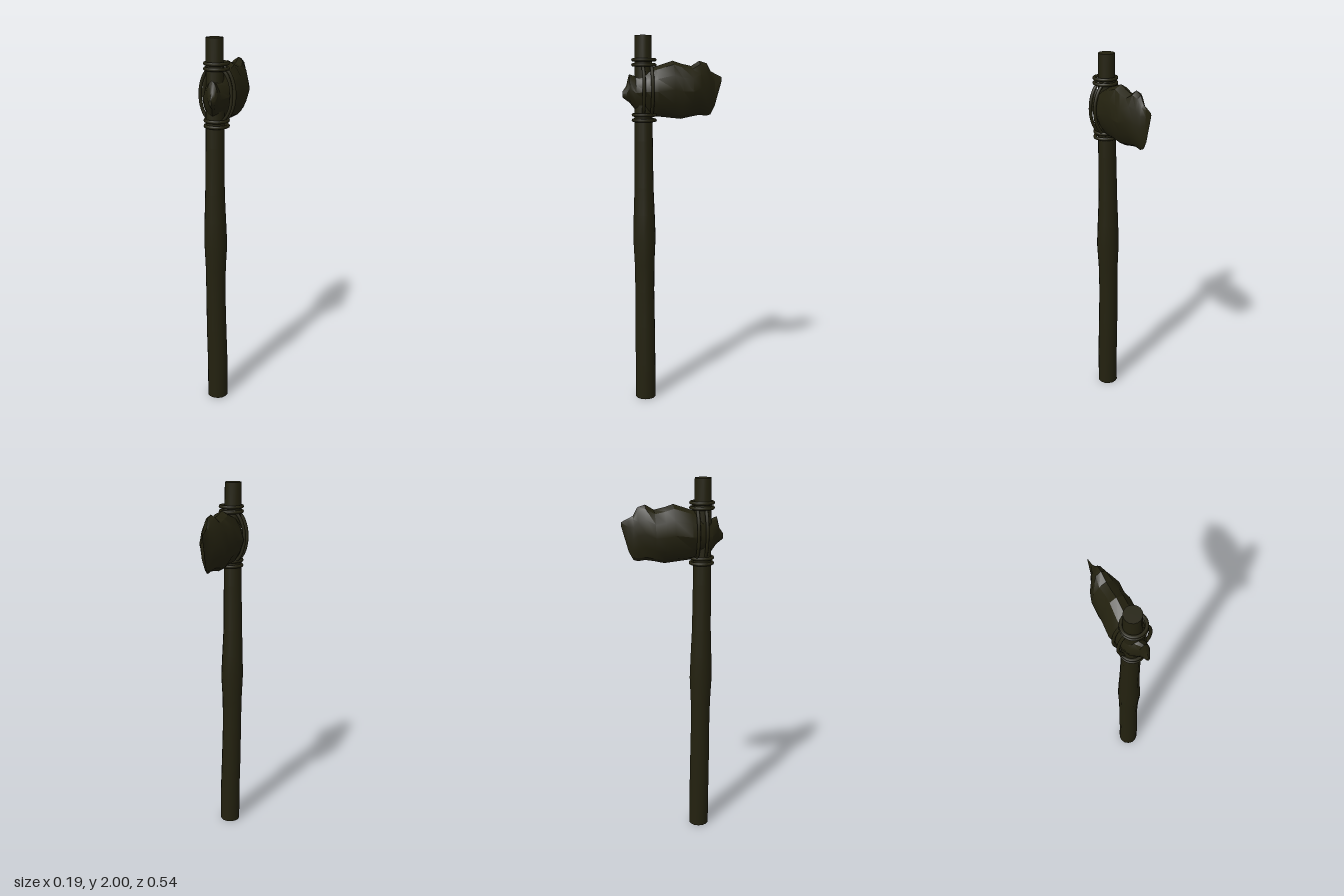
import * as THREE from 'three';
import { toCreasedNormals } from 'three/addons/utils/BufferGeometryUtils.js';

const HANDLE_Z = 0.155;

// Handle stations from bottom to top: y, centre x, radius
const HANDLE = [
  [0, 0, 0.056], [0.2, 0, 0.056], [0.42, -0.006, 0.055], [0.62, -0.009, 0.053],
  [0.78, -0.009, 0.055], [0.92, -0.008, 0.062], [1.05, -0.01, 0.058],
  [1.2, -0.011, 0.052], [1.45, -0.009, 0.049], [1.75, -0.008, 0.047], [2, -0.009, 0.044],
];

// Stone stations from poll to cutting edge: z, bottom y, top y, min x, max x
const STONE = [
  [0.27, 1.68, 1.71, 0.006, 0.022], [0.25, 1.665, 1.74, -0.006, 0.034],
  [0.234, 1.655, 1.8, -0.022, 0.04], [0.2, 1.615, 1.79, -0.054, 0.046],
  [0.15, 1.6, 1.82, -0.072, 0.07], [0.09, 1.58, 1.84, -0.092, 0.086],
  [0, 1.57, 1.87, -0.083, 0.081], [-0.045, 1.565, 1.855, -0.081, 0.082],
  [-0.1, 1.577, 1.843, -0.077, 0.083], [-0.145, 1.585, 1.87, -0.06, 0.064],
  [-0.185, 1.58, 1.857, -0.033, 0.042], [-0.208, 1.587, 1.815, -0.022, 0.025],
  [-0.232, 1.63, 1.803, -0.007, 0.005], [-0.27, 1.765, 1.785, -0.002, 0.001],
];

function handleGeometry() {
  const rows = HANDLE.length - 1;
  const g = new THREE.CylinderGeometry(1, 1, rows, 14, rows);
  const p = g.attributes.position;
  for (let i = 0; i < p.count; i++) {
    const [y, cx, r] = HANDLE[Math.round(p.getY(i) + rows / 2)];
    p.setXYZ(i, cx + p.getX(i) * r, y, HANDLE_Z + p.getZ(i) * r);
  }
  return toCreasedNormals(g, 0.7);
}

// Chipped stone: lens-shaped cross-sections joined along z
function stoneGeometry() {
  const sides = 12, pos = [], idx = [];
  let seed = 11;
  const rand = () => (seed = (seed * 16807) % 2147483647) / 2147483647;
  STONE.forEach(([z, y0, y1, x0, x1]) => {
    for (let j = 0; j < sides; j++) {
      const a = (j / sides) * Math.PI * 2, c = Math.cos(a), s = Math.sin(a);
      const chip = j % 3 ? 0.86 + 0.16 * rand() : 1;
      const w = Math.sign(c) * Math.pow(Math.abs(c), 1.15) * chip;
      pos.push((x0 + x1) / 2 + w * (x1 - x0) / 2, (y0 + y1) / 2 + s * (y1 - y0) / 2, z);
    }
  });
  const last = STONE.length - 1;
  for (let i = 0; i < last; i++) for (let j = 0; j < sides; j++) {
    const k = (j + 1) % sides, a = i * sides + j, c = i * sides + k;
    idx.push(a, a + sides, c, c, a + sides, c + sides);
  }
  for (let j = 1; j < sides - 1; j++) {
    idx.push(0, j, j + 1);
    idx.push(last * sides, last * sides + j + 1, last * sides + j);
  }
  const g = new THREE.BufferGeometry();
  g.setAttribute('position', new THREE.Float32BufferAttribute(pos, 3));
  g.setIndex(idx);
  return toCreasedNormals(g, 0.5);
}

// Oval loop of cord around the z axis
class OvalCurve extends THREE.Curve {
  constructor(rx, ry) { super(); this.rx = rx; this.ry = ry; }
  getPoint(t, target = new THREE.Vector3()) {
    const a = t * Math.PI * 2;
    return target.set(Math.cos(a) * this.rx, Math.sin(a) * this.ry, 0);
  }
}

export function createModel() {
  const model = new THREE.Group();
  model.name = 'stoneAxe';
  const olive = new THREE.MeshStandardMaterial({ color: 0x23210f });
  olive.name = 'dark olive';
  const add = (name, geometry) => {
    const mesh = new THREE.Mesh(geometry, olive);
    mesh.name = name;
    model.add(mesh);
    return mesh;
  };

  add('handle', handleGeometry());
  add('stoneHead', stoneGeometry());

  // Cord wound around the handle above and below the head
  const band = new THREE.TorusGeometry(0.058, 0.009, 8, 28);
  [1.56, 1.588, 1.848, 1.874].forEach((y, i) => {
    const mesh = add('handleCord' + (i + 1), band);
    mesh.rotation.x = Math.PI / 2;
    mesh.position.set(0, y, HANDLE_Z - 0.002);
  });

  // Upright cord loops around the head
  const loop = new THREE.TubeGeometry(new OvalCurve(0.085, 0.143), 40, 0.009, 8, true);
  [0.12, 0.165].forEach((z, i) => {
    add('headCord' + (i + 1), loop).position.set(0, 1.717, z);
  });

  return model;
}
